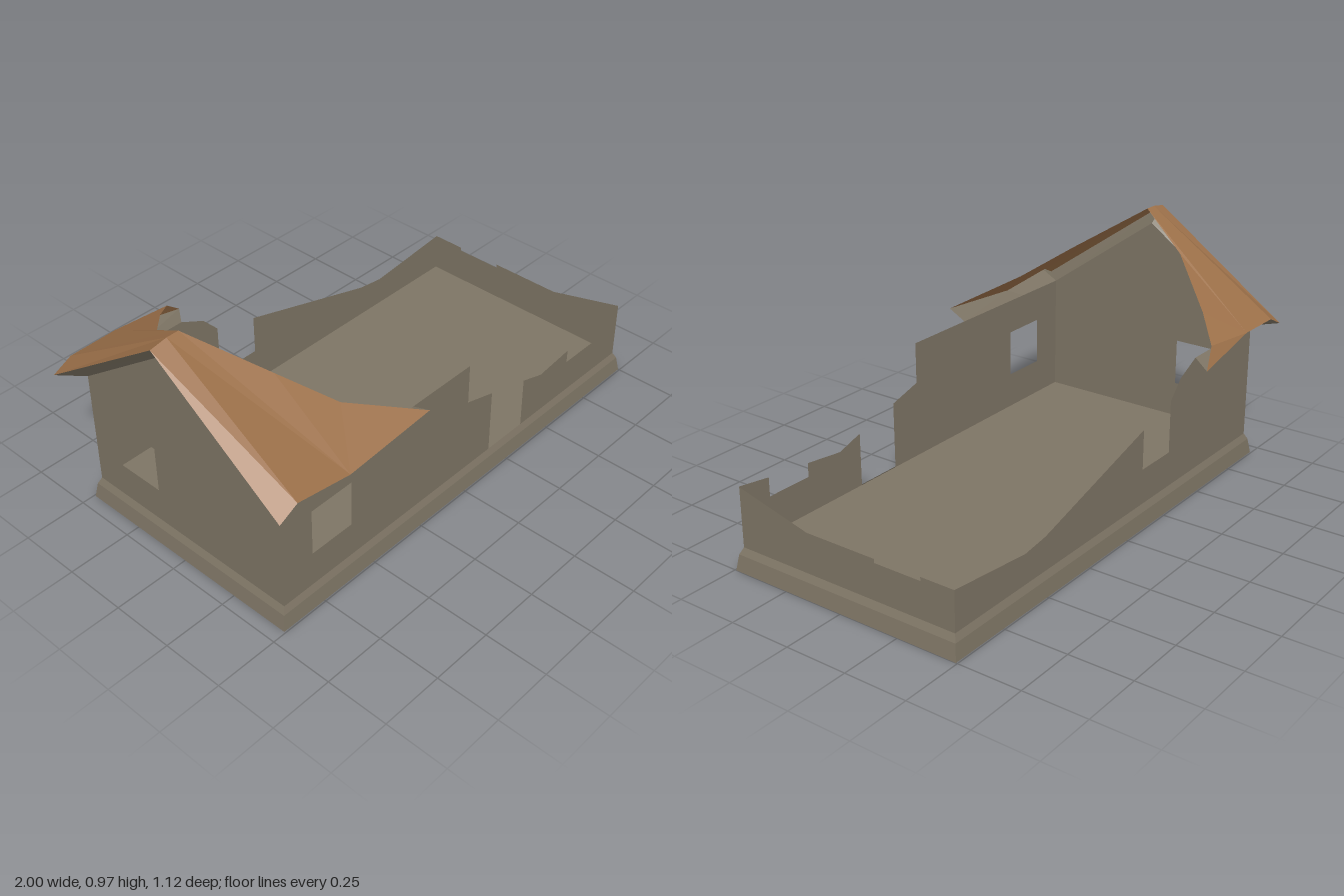
import * as THREE from 'three';

const stone = new THREE.MeshStandardMaterial({ color: 0x7d7464, side: THREE.DoubleSide, flatShading: true });
stone.name = 'weathered stone';
const tile = new THREE.MeshStandardMaterial({ color: 0x9c7049, side: THREE.DoubleSide, flatShading: true });
tile.name = 'brown roof';

const X0 = -0.92, X1 = 0.975, Z = 0.473, FLOOR = 0.085, EAVE = 0.56;

// Flat-shaded strip between two polylines of equal length; repeated points make triangles
function ribbon(name, a, b, material) {
  const pos = [];
  const same = (p, q) => p.every((v, i) => Math.abs(v - q[i]) < 1e-6);
  const tri = (p, q, r) => {
    if (!same(p, q) && !same(q, r) && !same(p, r)) pos.push(...p, ...q, ...r);
  };
  for (let i = 0; i < a.length - 1; i++) {
    tri(a[i], b[i], b[i + 1]);
    tri(a[i], b[i + 1], a[i + 1]);
  }
  const g = new THREE.BufferGeometry();
  g.setAttribute('position', new THREE.Float32BufferAttribute(pos, 3));
  g.computeVertexNormals();
  const mesh = new THREE.Mesh(g, material);
  mesh.name = name;
  return mesh;
}

// Thin wall from an outline with an optional window [u0, u1, v0, v1]
function wall(name, outline, hole) {
  const shape = new THREE.Shape(outline.map(([u, v]) => new THREE.Vector2(u, v)));
  if (hole) {
    const [u0, u1, v0, v1] = hole;
    shape.holes.push(new THREE.Path([[u0, v0], [u0, v1], [u1, v1], [u1, v0]].map(([u, v]) => new THREE.Vector2(u, v))));
  }
  const mesh = new THREE.Mesh(new THREE.ShapeGeometry(shape), stone);
  mesh.name = name;
  return mesh;
}

export function createModel() {
  const model = new THREE.Group();
  model.name = 'ruinedHouse';

  // Flared plinth, open underneath
  const ring = (out, y) => [[-1, 1], [1, 1], [1, -1], [-1, -1], [-1, 1]]
    .map(([sx, sz]) => [sx < 0 ? X0 - out : X1 + out, y, sz * (Z + out * 0.85)]);
  const rings = [ring(0.025, 0), ring(0.014, 0.062), ring(0, 0.088)];
  model.add(ribbon('plinthSide', rings[1], rings[0], stone));
  model.add(ribbon('plinthBevel', rings[2], rings[1], stone));

  // Floor
  const floor = new THREE.Mesh(new THREE.PlaneGeometry(X1 - X0, 2 * Z), stone);
  floor.name = 'floor';
  floor.rotation.x = -Math.PI / 2;
  floor.position.set((X0 + X1) / 2, FLOOR, 0);
  model.add(floor);

  // Front wall with doorway, window and crumbled top
  const front = wall('frontWall', [
    [X0, FLOOR], [0.165, FLOOR], [0.165, 0.355], [0.025, 0.395], [0.025, EAVE], [X0, EAVE],
  ], [-0.78, -0.59, 0.23, 0.42]);
  front.position.z = Z;
  const frontRuin = wall('frontWallRuin', [
    [0.36, FLOOR], [X1, FLOOR], [X1, 0.325], [0.835, 0.305], [0.835, 0.23],
    [0.64, 0.23], [0.64, 0.285], [0.47, 0.265], [0.36, 0.3],
  ]);
  frontRuin.position.z = Z;

  // Back wall with broken window; outline runs along -x
  const back = wall('backWall', [
    [-X1, FLOOR], [-X0, FLOOR], [-X0, EAVE], [0.485, EAVE], [0.38, 0.51], [0.315, 0.44],
    [0.315, 0.23], [0.13, 0.23], [0.13, 0.39], [-0.485, 0.22], [-0.6, 0.205], [-X1, 0.245],
  ]);
  back.rotation.y = Math.PI;
  back.position.z = -Z;

  // Low end wall; outline runs along -z
  const end = wall('endWall', [
    [-Z, FLOOR], [Z, FLOOR], [Z, 0.245], [0.335, 0.245], [0.335, 0.23],
    [0.14, 0.23], [0.14, 0.245], [-0.16, 0.245], [-Z, 0.323],
  ]);
  end.rotation.y = Math.PI / 2;
  end.position.x = X1;

  // Gable wall; outline runs along +z
  const gable = wall('gableWall', [
    [-Z, FLOOR], [Z, FLOOR], [Z, EAVE], [0, 0.9], [-Z, EAVE],
  ], [-0.335, -0.14, 0.23, 0.42]);
  gable.rotation.y = -Math.PI / 2;
  gable.position.x = X0;
  model.add(front, frontRuin, back, end, gable);

  // Roof remnant: ridge and torn edge down to the eaves
  const ridge = [[-1, 0.958, 0], [-0.93, 0.97, 0], [-0.88, 0.97, 0]];
  const frontTip = [-0.29, 0.595, 0.555], backTip = [-0.42, 0.545, -0.56];
  const fe = [[-1, 0.565, 0.555], [-0.92, 0.605, 0.555], [-0.68, 0.565, 0.555]];
  const be = [[-1, 0.565, -0.56], [-0.92, 0.605, -0.56], [-0.72, 0.608, -0.56]];
  model.add(ribbon('frontRoof',
    [...ridge, [-0.69, 0.812, 0.23], [-0.55, 0.695, 0.39], frontTip],
    [...fe, fe[2], fe[2], frontTip], tile));
  model.add(ribbon('backRoof',
    [...be, be[2], be[2], be[2], backTip],
    [...ridge, [-0.81, 0.835, -0.2], [-0.62, 0.69, -0.42], [-0.5, 0.615, -0.53], backTip], tile));

  // Soffits from eaves to wall tops
  const top = (x, s) => [x, EAVE, s * Z];
  model.add(ribbon('frontSoffit', [...fe, frontTip],
    [top(X0, 1), top(X0, 1), top(-0.68, 1), top(-0.28, 1)], stone));
  model.add(ribbon('backSoffit',
    [top(X0, -1), top(X0, -1), top(-0.72, -1), top(-0.485, -1)], [...be, backTip], stone));

  // Underside of the overhang at the gable
  model.add(ribbon('gableSoffit', [be[0], ridge[0], fe[0]],
    [top(X0, -1), [X0, 0.9, 0], top(X0, 1)], stone));

  return model;
}
